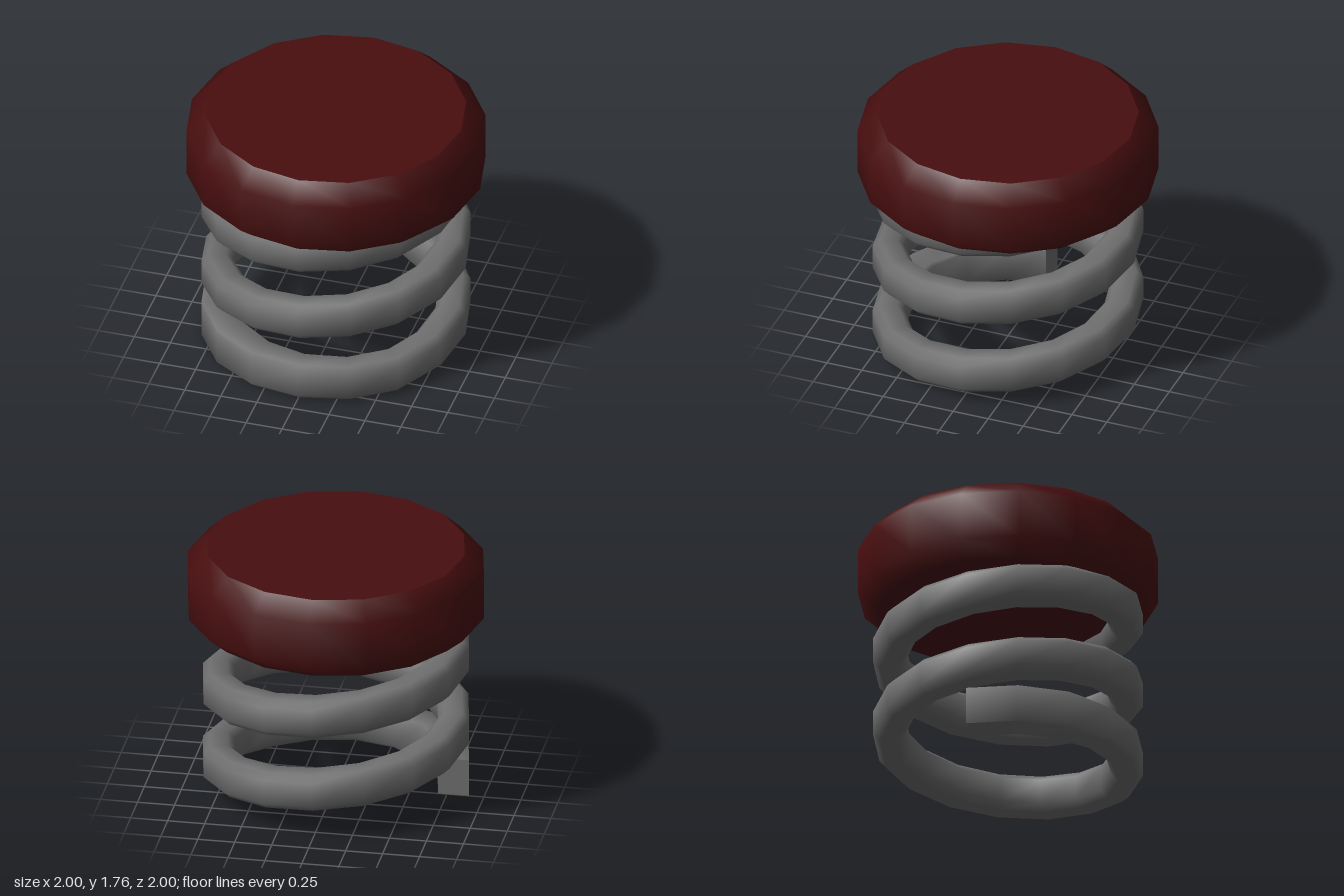
import * as THREE from 'three';
import { toCreasedNormals } from 'three/addons/utils/BufferGeometryUtils.js';

const SIDES = 16;

// Chamfered rectangle in (radius, height), counter-clockwise
function section(chamfer) {
  const r0 = 0.69, r1 = 0.9, h = 0.13, c = chamfer;
  return [
    [r0 + c, -h], [r1 - c, -h], [r1, -h + c], [r1, h - c],
    [r1 - c, h], [r0 + c, h], [r0, h - c], [r0, -h + c],
  ];
}

// Coil swept from a flat, square-cut foot up into the cap
function coilGeometry(turns) {
  const positions = [], index = [], n = 8;
  const rings = Math.round(turns * SIDES);
  for (let j = 0; j <= rings; j++) {
    const t = j / SIDES, a = t * Math.PI * 2;
    const y = Math.max(0.13, 0.47 + 0.535 * (t - 1));
    const chamfer = 0.045 * THREE.MathUtils.smoothstep(t, 0.06, 0.32);
    for (const [r, dy] of section(chamfer)) {
      positions.push(-r * Math.cos(a), y + dy, r * Math.sin(a));
    }
  }
  for (let j = 0; j < rings; j++) {
    for (let i = 0; i < n; i++) {
      const k = (i + 1) % n;
      const a = j * n + i, b = (j + 1) * n + i, c = (j + 1) * n + k, d = j * n + k;
      index.push(a, b, c, a, c, d);
    }
  }
  // end faces
  const e = rings * n;
  for (let i = 1; i < n - 1; i++) index.push(0, i, i + 1, e, e + i + 1, e + i);
  const g = new THREE.BufferGeometry();
  g.setAttribute('position', new THREE.Float32BufferAttribute(positions, 3));
  g.setIndex(index);
  return toCreasedNormals(g, 0.95);
}

export function createModel() {
  const model = new THREE.Group();
  model.name = 'springButton';
  const darkRed = new THREE.MeshStandardMaterial({ color: 0x480e0f });
  darkRed.name = 'darkRed';
  const grey = new THREE.MeshStandardMaterial({ color: 0x6e6e6e });
  grey.name = 'steelGrey';

  const add = (parent, name, geometry, material) => {
    const mesh = new THREE.Mesh(geometry, material);
    mesh.name = name;
    parent.add(mesh);
    return mesh;
  };

  add(model, 'spring', coilGeometry(2.75), grey);

  // Bevelled round cap with flat faces
  const cap = new THREE.Group();
  cap.name = 'cap';
  model.add(cap);
  const profile = [[0.88, 1.21], [1, 1.31], [1, 1.64], [0.87, 1.76]]
    .map(([r, y]) => new THREE.Vector2(r, y));
  add(cap, 'capRim', new THREE.LatheGeometry(profile, SIDES), darkRed);
  const top = add(cap, 'capTop', new THREE.CircleGeometry(0.87, SIDES), darkRed);
  top.rotation.x = -Math.PI / 2;
  top.position.y = 1.76;
  const bottom = add(cap, 'capUnderside', new THREE.CircleGeometry(0.88, SIDES), darkRed);
  bottom.rotation.x = Math.PI / 2;
  bottom.position.y = 1.21;

  return model;
}
